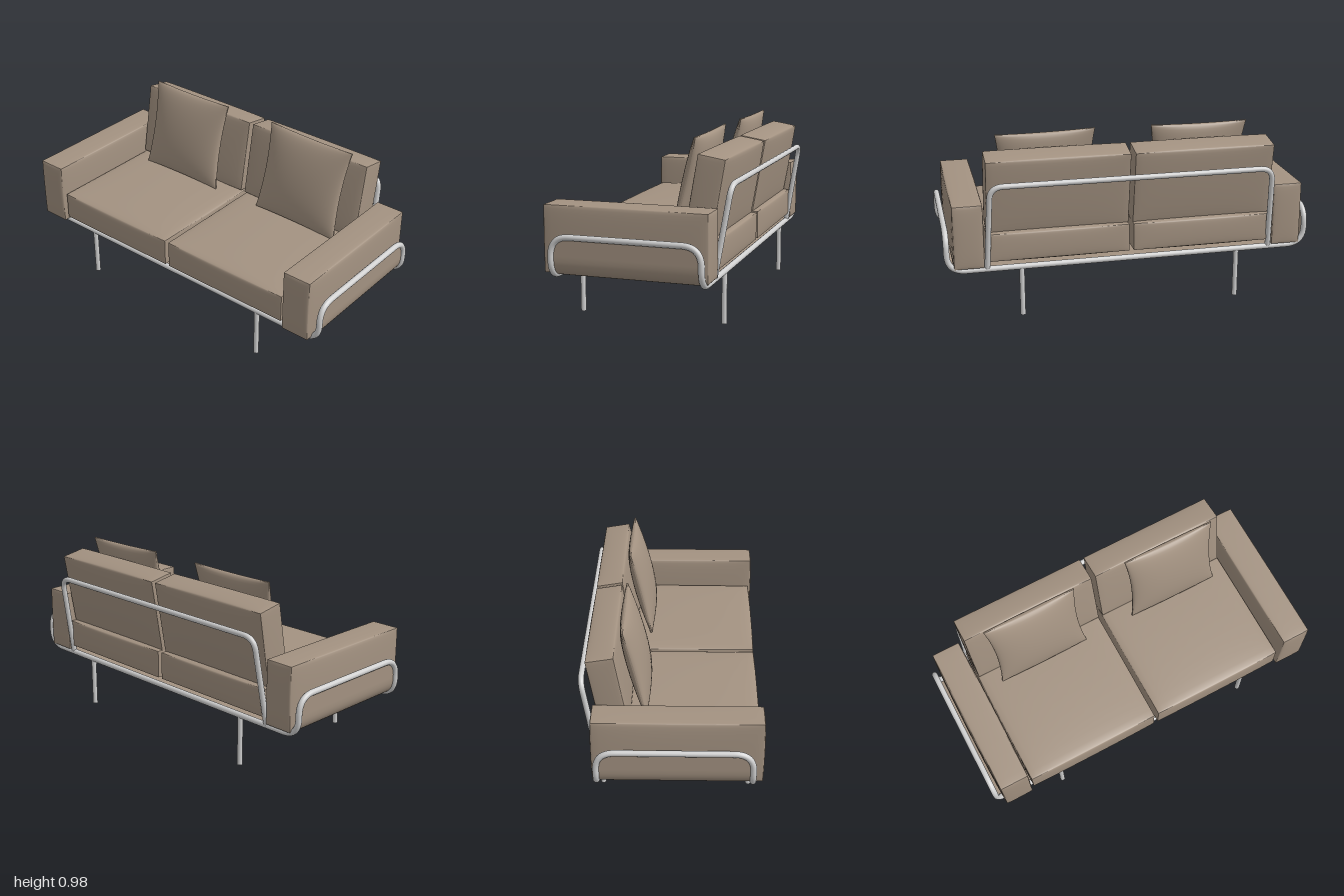
import * as THREE from 'three';

const fabric = new THREE.MeshStandardMaterial({ name: 'taupe fabric', color: 0xa39281, side: THREE.DoubleSide });
const metal = new THREE.MeshStandardMaterial({ name: 'satin steel', color: 0xd0d0d0 });

const V = (x, y, z) => new THREE.Vector3(x, y, z);

function add(parent, name, geometry, material, x = 0, y = 0, z = 0) {
  const mesh = new THREE.Mesh(geometry, material);
  mesh.name = name;
  mesh.position.set(x, y, z);
  parent.add(mesh);
  return mesh;
}

// Polyline with its inner corners rounded off
function roundedPath(points, r) {
  const path = new THREE.CurvePath();
  let last = points[0];
  for (let i = 1; i < points.length - 1; i++) {
    const p = points[i];
    const a = p.clone().add(points[i - 1].clone().sub(p).setLength(r));
    const b = p.clone().add(points[i + 1].clone().sub(p).setLength(r));
    path.add(new THREE.LineCurve3(last, a));
    path.add(new THREE.QuadraticBezierCurve3(a, p, b));
    last = b;
  }
  path.add(new THREE.LineCurve3(last, points[points.length - 1]));
  return path;
}

// Upholstered block: each face swells in the middle, edges stay as crisp seams
function cushionGeometry(w, h, d, puff) {
  const g = new THREE.BoxGeometry(2, 2, 2, 14, 14, 14);
  const p = g.attributes.position;
  const half = [w / 2, h / 2, d / 2];
  for (let i = 0; i < p.count; i++) {
    const u = [p.getX(i), p.getY(i), p.getZ(i)].map((c) => Math.sin(c * Math.PI / 2));
    const out = u.map((c, k) => {
      const a = u[(k + 1) % 3], b = u[(k + 2) % 3];
      const swell = Math.pow(Math.max(0, (1 - a * a) * (1 - b * b)), 0.4);
      return c * (half[k] - puff[k] * (1 - swell));
    });
    p.setXYZ(i, ...out);
  }
  g.computeVertexNormals();
  return g;
}

// Throw pillow: thin at the rim, full in the middle, with pulled-out corners
function pillowGeometry(w, h, depth) {
  const g = new THREE.BoxGeometry(2, 2, 2, 22, 22, 1);
  const p = g.attributes.position;
  for (let i = 0; i < p.count; i++) {
    const u = Math.sin(p.getX(i) * Math.PI / 2), v = Math.sin(p.getY(i) * Math.PI / 2);
    const full = Math.sqrt(Math.max(0, (1 - u * u) * (1 - v * v)));
    p.setXYZ(i,
      u * w / 2 * (0.92 + 0.08 * v * v),
      v * h / 2 * (0.97 + 0.03 * u * u),
      p.getZ(i) * (0.004 + depth / 2 * full));
  }
  g.computeVertexNormals();
  return g;
}

// Sheet stretched inside the frame, curving up at both ends
function slingGeometry() {
  const n = 10, half = [];
  for (let i = 0; i <= n; i++) {
    const t = i / n;
    half.push([0.884 + 0.1 * (2 * t - t * t), 0.276 + 0.1 * t * t, 0]);
  }
  for (let i = 0; i <= n; i++) {
    const t = i / n;
    half.push([0.984, 0.385 + 0.1 * (2 * t - t * t), 0.1 * t * t]);
  }
  const rows = [...half.map(([x, y, s]) => [-x, y, s]).reverse(), ...half];
  const g = new THREE.PlaneGeometry(1, 1, 1, rows.length - 1);
  rows.forEach(([x, y, inset], i) => {
    g.attributes.position.setXYZ(2 * i, x, y, -0.375 + inset);
    g.attributes.position.setXYZ(2 * i + 1, x, y, 0.405 - inset);
  });
  g.computeVertexNormals();
  return g;
}

export function createModel() {
  const sofa = new THREE.Group();
  sofa.name = 'sofa';
  const X = 0.984, LOW = 0.276, HIGH = 0.485, ZF = 0.405, ZB = -0.375;

  // Tubular frame: one closed loop along both rails and over both ends
  const loop = roundedPath([
    V(0, LOW, ZF), V(X, LOW, ZF), V(X, HIGH, ZF), V(X, HIGH, ZB), V(X, LOW, ZB),
    V(-X, LOW, ZB), V(-X, HIGH, ZB), V(-X, HIGH, ZF), V(-X, LOW, ZF), V(0, LOW, ZF),
  ], 0.1);
  add(sofa, 'baseFrame', new THREE.TubeGeometry(loop, 400, 0.016, 14, true), metal);

  // Leaning back hoop
  const hoop = roundedPath([
    V(-0.775, LOW, -0.375), V(-0.755, 0.75, -0.455), V(0.755, 0.75, -0.455), V(0.775, LOW, -0.375),
  ], 0.07);
  add(sofa, 'backFrame', new THREE.TubeGeometry(hoop, 200, 0.015, 14, false), metal);

  add(sofa, 'sling', slingGeometry(), fabric);

  // Bent strap between a front and a back leg
  const strap = [[0.4, 0.258], [0.195, 0.202], [-0.145, 0.202], [-0.265, 0.241], [-0.37, 0.257]];
  const outline = [...strap, ...strap.map(([z, y]) => [z, y - 0.011]).reverse()];
  const strapShape = new THREE.Shape(outline.map(([z, y]) => new THREE.Vector2(-z, y)));
  const strapGeometry = new THREE.ExtrudeGeometry(strapShape, { depth: 0.012, bevelEnabled: false });
  strapGeometry.translate(0, 0, -0.006).rotateY(Math.PI / 2);

  const legGeometry = new THREE.CylinderGeometry(0.014, 0.014, LOW, 16);
  const armGeometry = cushionGeometry(0.18, 0.355, 0.87, [0.012, 0.006, 0.01]);
  const seatGeometry = cushionGeometry(0.772, 0.19, 0.85, [0.006, 0.02, 0.01]);
  const backGeometry = cushionGeometry(0.766, 0.435, 0.165, [0.005, 0.01, 0.012]);
  const pillowShape = pillowGeometry(0.53, 0.5, 0.105);

  for (const s of [-1, 1]) {
    const side = s > 0 ? 'left' : 'right';
    add(sofa, side + 'FrontLeg', legGeometry, metal, s * 0.593, LOW / 2, ZF);
    add(sofa, side + 'BackLeg', legGeometry, metal, s * 0.593, LOW / 2, ZB);
    add(sofa, side + 'Brace', strapGeometry, metal, s * 0.593, 0, 0);
    add(sofa, side + 'Arm', armGeometry, fabric, s * 0.869, 0.464, 0.029);
    add(sofa, side + 'SeatCushion', seatGeometry, fabric, s * 0.393, 0.395, 0.027);
    add(sofa, side + 'BackCushion', backGeometry, fabric, s * 0.391, 0.677, -0.322).rotation.x = -0.17;
    const pillow = add(sofa, side + 'Pillow', pillowShape, fabric, s > 0 ? 0.43 : -0.4, 0.727, -0.193);
    pillow.rotation.set(-0.23, 0, s > 0 ? -0.02 : 0);
  }
  return sofa;
}
